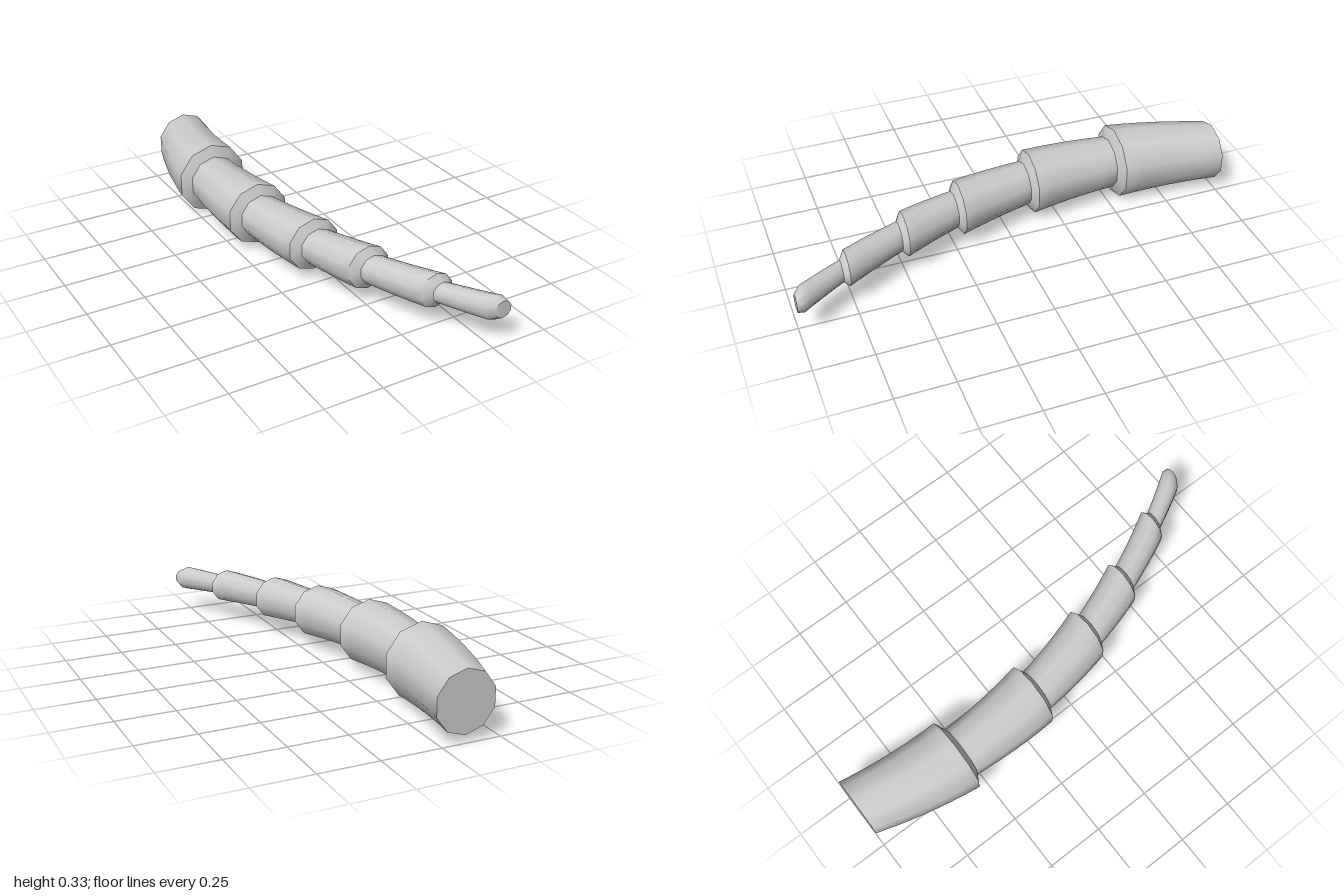
import * as THREE from 'three';
import { toCreasedNormals } from 'three/addons/utils/BufferGeometryUtils.js';

const SIDES = 10;
const STEPS = 6;
const AXIS_Y = 0.163;

// Sideways bend of the centre line along the length
const bend = (z) => -0.13 + 0.19 * z + 0.224 * z * z;

// Each joint: start z, start radius, rim z, rim radius
const JOINTS = [
  [-1.0, 0.13, -0.547, 0.163],
  [-0.523, 0.115, -0.135, 0.141],
  [-0.112, 0.097, 0.215, 0.118],
  [0.238, 0.08, 0.485, 0.097],
  [0.509, 0.064, 0.763, 0.076],
  [0.787, 0.046, 0.972, 0.055],
];
const TIP = [1.0, 0.038];

export function createModel() {
  const group = new THREE.Group();
  const material = new THREE.MeshStandardMaterial({ color: 0xcccccc, side: THREE.DoubleSide });

  JOINTS.forEach(([z0, r0, z1, r1], i) => {
    const last = i === JOINTS.length - 1;
    const [nextZ, nextR] = last ? TIP : JOINTS[i + 1];
    const profile = [];

    // Flat cap on the thick end
    if (i === 0) profile.push(new THREE.Vector2(0, z0));

    // Wall widening towards the rim
    for (let s = 0; s <= STEPS; s++) {
      const t = s / STEPS;
      profile.push(new THREE.Vector2(r0 + (r1 - r0) * t, z0 + (z1 - z0) * t));
    }

    // Sloping collar down to the next joint, or the blunt tip
    profile.push(new THREE.Vector2(nextR, nextZ));
    if (last) profile.push(new THREE.Vector2(0, nextZ));

    let geometry = new THREE.LatheGeometry(profile, SIDES).rotateX(Math.PI / 2);
    const pos = geometry.attributes.position;
    for (let v = 0; v < pos.count; v++) {
      pos.setX(v, pos.getX(v) + bend(pos.getZ(v)));
    }
    geometry = toCreasedNormals(geometry, THREE.MathUtils.degToRad(42));

    const mesh = new THREE.Mesh(geometry, material);
    mesh.name = last ? 'tipJoint' : `joint${i + 1}`;
    mesh.position.y = AXIS_Y;
    group.add(mesh);
  });

  group.name = 'segmentedTail';
  return group;
}
